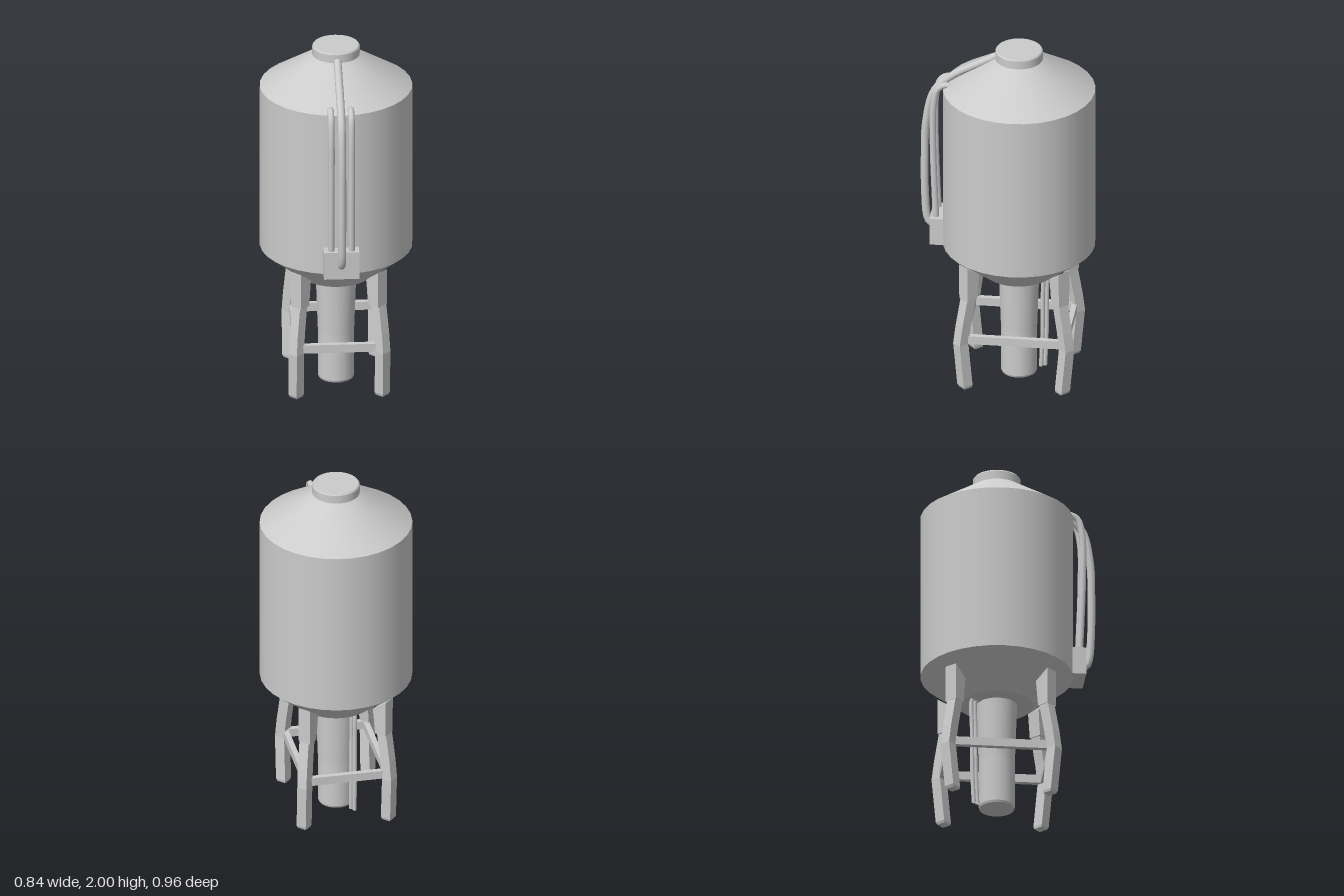
import * as THREE from 'three';

const CZ = -0.065; // z of the tank axis

export function createModel() {
  const model = new THREE.Group();
  const mat = new THREE.MeshStandardMaterial({ color: 0xcccccc, side: THREE.DoubleSide });

  const add = (name, geo, x = 0, y = 0, z = 0) => {
    const mesh = new THREE.Mesh(geo, mat);
    mesh.name = name;
    mesh.position.set(x, y, z);
    model.add(mesh);
    return mesh;
  };

  // Round section on the tank axis between two heights
  const ring = (name, y0, y1, r0, r1, open = true, sides = 32) =>
    add(name, new THREE.CylinderGeometry(r1, r0, y1 - y0, sides, 1, open), 0, (y0 + y1) / 2, CZ);

  const pipe = (name, points, radius) => {
    const curve = new THREE.CatmullRomCurve3(points.map((p) => new THREE.Vector3(...p)));
    return add(name, new THREE.TubeGeometry(curve, 40, radius, 10), 0, 0, 0);
  };

  // Tank
  ring('tankBottom', 0.625, 0.8, 0.2, 0.42, false);
  ring('tankBody', 0.8, 1.757, 0.42, 0.42);
  ring('tankRoof', 1.757, 1.95, 0.42, 0.122);
  ring('hatchSide', 1.94, 1.992, 0.131, 0.131, false);
  ring('hatchLid', 1.992, 2.0, 0.131, 0.125, false);

  // Central outlet column
  ring('columnFoot', 0, 0.012, 0.095, 0.1, false);
  ring('columnLower', 0.012, 0.28, 0.1, 0.1);
  ring('columnUpper', 0.28, 0.64, 0.1, 0.113);

  // Control box and the pipes on the front
  add('pipeBox', new THREE.BoxGeometry(0.195, 0.16, 0.08), 0, 0.88, 0.38);
  pipe('mainPipe', [
    [0, 1.955, 0.05], [0, 1.9, 0.15], [0, 1.815, 0.3], [0, 1.71, 0.405], [0, 1.52, 0.45],
    [0, 1.3, 0.458], [0, 1.05, 0.455], [0, 0.92, 0.443], [0, 0.88, 0.42], [0, 0.878, 0.38],
  ], 0.022);
  for (const x of [-0.056, 0.056]) {
    pipe('sidePipe', [
      [x, 1.765, 0.29], [x, 1.778, 0.335], [x, 1.75, 0.378], [x, 1.65, 0.402],
      [x, 1.4, 0.405], [x, 1.1, 0.395], [x, 0.94, 0.388],
    ], 0.018);
  }

  // Thin drain pipes behind the column
  for (const [x, z] of [[-0.06, -0.187], [-0.075, -0.208]]) {
    pipe('drainPipe', [
      [x, 0, z + 0.008], [x, 0.2, z], [x, 0.45, z - 0.002], [x, 0.59, z - 0.006],
      [x, 0.625, z], [x + 0.008, 0.635, z + 0.03],
    ], 0.012);
  }

  // Bent beam turned 45 degrees; each row is [y, x, z, width, depth, inner drop]
  const beam = (name, rows, sx, sz) => {
    const n = rows.length - 1;
    const box = new THREE.BoxGeometry(1, n, 1, 1, n, 1);
    const radial = new THREE.Vector3(sx, 0, sz).normalize();
    const across = new THREE.Vector3(0, 1, 0).cross(radial);
    const pos = box.attributes.position;
    const v = new THREE.Vector3();
    for (let i = 0; i < pos.count; i++) {
      const [y, x, z, w, d, drop = 0] = rows[Math.round(pos.getY(i) + n / 2)];
      const u = pos.getX(i) * w, r = pos.getZ(i) * d;
      v.set(sx * x, y - (r < 0 ? drop : 0), sz * z + CZ)
        .addScaledVector(across, u).addScaledVector(radial, r);
      pos.setXYZ(i, v.x, v.y, v.z);
    }
    const geo = box.toNonIndexed();
    geo.computeVertexNormals();
    return add(name, geo);
  };

  const legRows = [
    [0, 0.236, 0.267, 0.05, 0.05], [0.015, 0.237, 0.27, 0.06, 0.06],
    [0.27, 0.238, 0.293, 0.06, 0.06], [0.38, 0.232, 0.28, 0.06, 0.06],
    [0.56, 0.216, 0.252, 0.06, 0.06],
  ];
  const sleeveRows = [
    [0.54, 0.214, 0.255, 0.072, 0.068], [0.75, 0.21, 0.25, 0.075, 0.082, 0.06],
  ];
  for (const sx of [-1, 1]) {
    for (const sz of [-1, 1]) {
      beam('leg', legRows, sx, sz);
      beam('legSleeve', sleeveRows, sx, sz);
    }
  }

  // Braces joining the legs
  for (const s of [-1, 1]) {
    add('crossBrace', new THREE.BoxGeometry(0.45, 0.048, 0.03), 0, 0.295, CZ + s * 0.28);
    add('sideBrace', new THREE.BoxGeometry(0.03, 0.048, 0.56), s * 0.226, 0.295, CZ);
  }

  return model;
}
